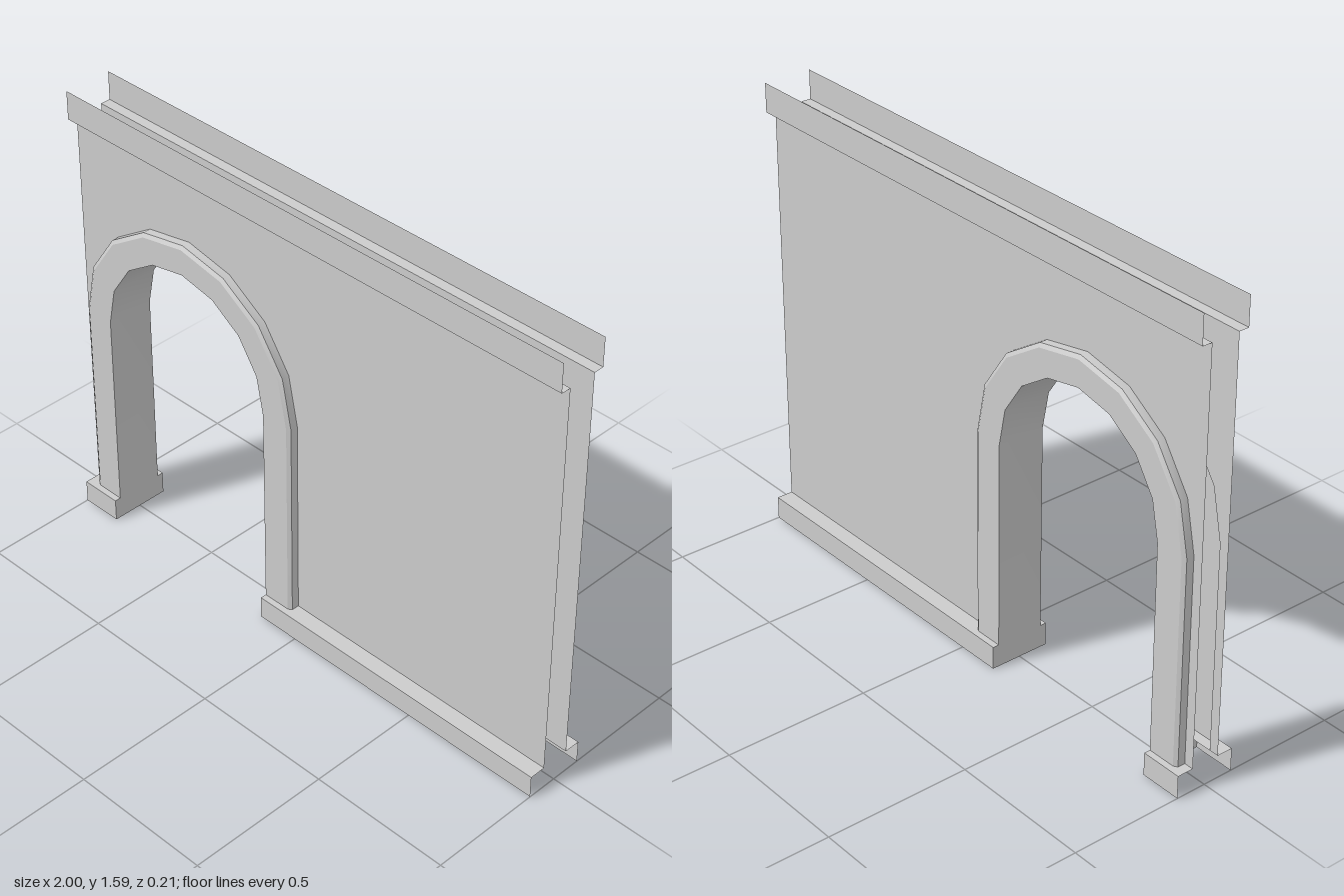
import * as THREE from 'three';
import { toCreasedNormals } from 'three/addons/utils/BufferGeometryUtils.js';

const CX = -0.503, SPRING = 0.8, BASE = 0.08, TOP = 1.59, BAND = 1.49;
const WALL_Z = 0.05, TRIM_Z = 0.085, BASE_Z = 0.107, R = 0.35;
const material = new THREE.MeshStandardMaterial({ color: 0xcccccc, side: THREE.DoubleSide });

function mesh(name, geometry) {
  const m = new THREE.Mesh(geometry, material);
  m.name = name;
  return m;
}

// Arch outline from the foot of one leg, over eight chords, to the other foot
function arch(rx, ry, z) {
  const pts = [new THREE.Vector3(CX - rx, BASE, z)];
  for (let i = 0; i <= 8; i++) {
    const a = Math.PI * (1 - i / 8);
    pts.push(new THREE.Vector3(CX + rx * Math.cos(a), SPRING + ry * Math.sin(a), z));
  }
  pts.push(new THREE.Vector3(CX + rx, BASE, z));
  return pts;
}

// Strip of quads between two matching paths
function ribbon(a, b, smooth = false) {
  const pos = [];
  for (let i = 0; i < a.length - 1; i++) {
    for (const p of [a[i], a[i + 1], b[i + 1], a[i], b[i + 1], b[i]]) pos.push(p.x, p.y, p.z);
  }
  const g = new THREE.BufferGeometry();
  g.setAttribute('position', new THREE.Float32BufferAttribute(pos, 3));
  g.computeVertexNormals();
  return smooth ? toCreasedNormals(g, 0.6) : g;
}

// Moulding: a [y, z] profile swept along x
function moulding(name, profile, x0, x1) {
  const group = new THREE.Group();
  group.name = name;
  const rail = ([y, z]) => [new THREE.Vector3(x0, y, z), new THREE.Vector3(x1, y, z)];
  for (let i = 0; i < profile.length - 1; i++) {
    group.add(mesh(name + 'Face', ribbon(rail(profile[i]), rail(profile[i + 1]))));
  }
  return group;
}

function createSide() {
  const side = new THREE.Group();
  side.name = 'frontSide';

  // Thin wall panel, cut out along the outer edge of the arch trim
  const outer = z => arch(0.463, 0.454, z);
  const shape = new THREE.Shape([
    new THREE.Vector2(-1, BASE),
    ...outer(0).map(p => new THREE.Vector2(p.x, p.y)),
    new THREE.Vector2(1, BASE),
    new THREE.Vector2(1, BAND),
    new THREE.Vector2(-1, BAND),
  ]);
  const wall = mesh('wallPanel', new THREE.ShapeGeometry(shape));
  wall.position.z = WALL_Z;
  side.add(wall);

  // Arch trim: flat face, chamfer and outer edge
  const inset = arch(0.45, 0.441, TRIM_Z);
  side.add(mesh('archTrimFace', ribbon(arch(R, R, TRIM_Z), inset)));
  side.add(mesh('archTrimChamfer', ribbon(inset, outer(0.077), true)));
  side.add(mesh('archTrimEdge', ribbon(outer(0.077), outer(WALL_Z), true)));

  // Plinths either side of the opening, and the band along the top
  const plinth = [[0, BASE_Z], [BASE, BASE_Z], [BASE, WALL_Z]];
  side.add(moulding('narrowPlinth', plinth, -1, CX - R));
  side.add(moulding('widePlinth', plinth, CX + R, 1));
  side.add(moulding('topBand', [[BAND, WALL_Z], [BAND, TRIM_Z], [TOP, TRIM_Z]], -1, 1));
  return side;
}

export function createModel() {
  const model = new THREE.Group();
  model.name = 'archedWall';

  // Two mirrored shells with an open cavity between them
  const front = createSide();
  const back = front.clone();
  back.name = 'backSide';
  back.scale.z = -1;
  model.add(front, back);

  // Inner lining of the arch, joining both shells
  model.add(mesh('archLining', ribbon(arch(R, R, -TRIM_Z), arch(R, R, TRIM_Z), true)));

  // Plinth ends inside the opening
  for (const s of [-1, 1]) {
    const end = mesh('plinthEnd', new THREE.PlaneGeometry(2 * BASE_Z, BASE));
    end.position.set(CX + s * R, BASE / 2, 0);
    end.rotation.y = -s * Math.PI / 2;
    model.add(end);
  }
  return model;
}
